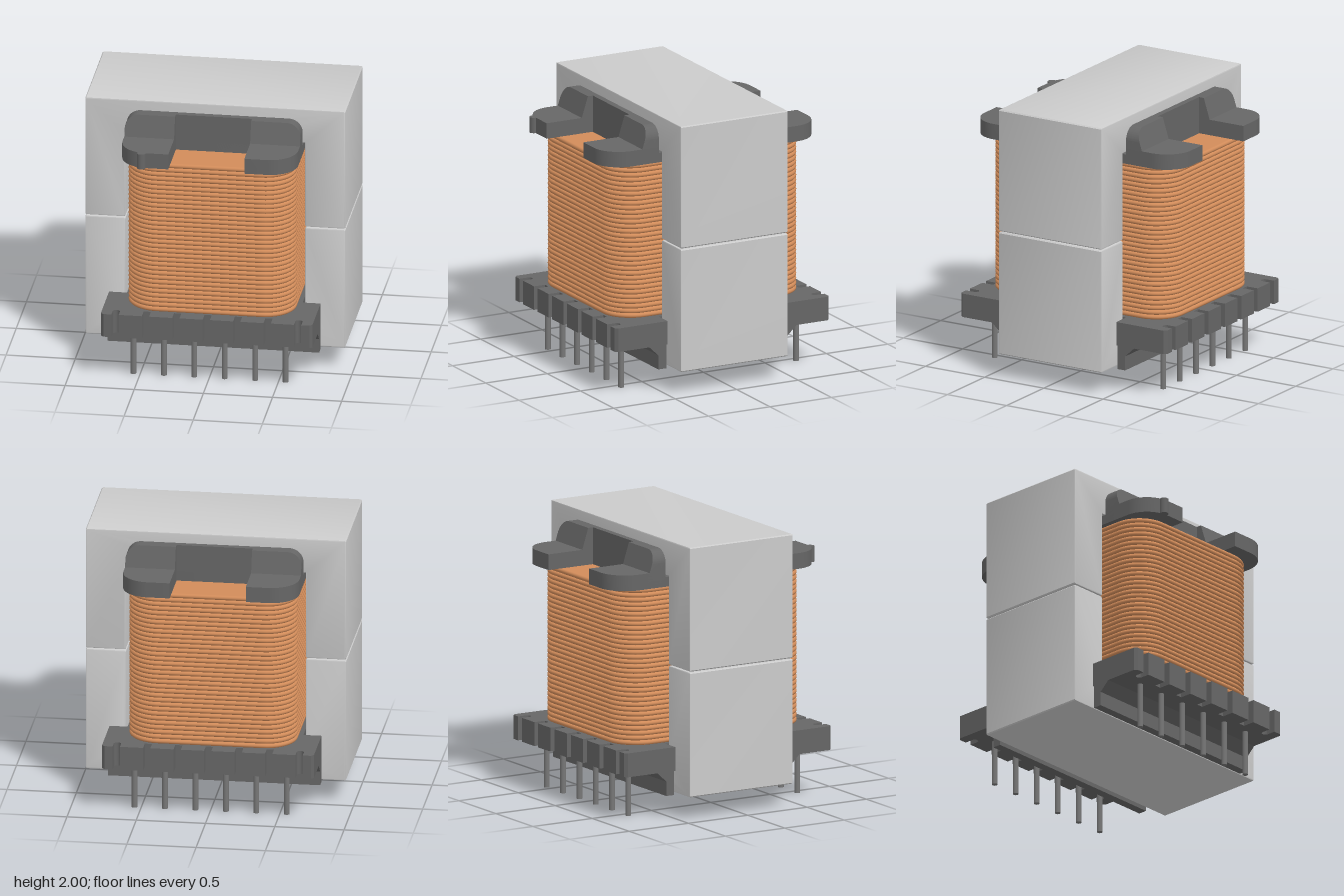
import * as THREE from 'three';
import { toCreasedNormals } from 'three/addons/utils/BufferGeometryUtils.js';

const ferrite = new THREE.MeshStandardMaterial({ color: 0xcccccc });
const plastic = new THREE.MeshStandardMaterial({ color: 0x666666 });
const metal = new THREE.MeshStandardMaterial({ color: 0x777777 });
const copper = new THREE.MeshStandardMaterial({ color: 0xd28c5a });

function add(parent, name, geometry, material) {
  const mesh = new THREE.Mesh(geometry, material);
  mesh.name = name;
  parent.add(mesh);
  return mesh;
}

const poly = (pts) => new THREE.Shape(pts.map(([x, y]) => new THREE.Vector2(x, y)));

// Rounded rectangle outline, half sizes w and d
function roundRect(w, d, r, Type = THREE.Shape) {
  const s = new Type();
  s.absarc(w - r, d - r, r, 0, Math.PI / 2);
  s.absarc(-w + r, d - r, r, Math.PI / 2, Math.PI);
  s.absarc(-w + r, -d + r, r, Math.PI, Math.PI * 1.5);
  s.absarc(w - r, -d + r, r, Math.PI * 1.5, Math.PI * 2);
  s.closePath();
  return s;
}

// Plan shape (x, z) extruded between two heights
function slab(shape, y0, y1) {
  const g = new THREE.ExtrudeGeometry(shape, { depth: y1 - y0, bevelEnabled: false, curveSegments: 10 });
  g.rotateX(Math.PI / 2).translate(0, y1, 0);
  return toCreasedNormals(g, 0.6);
}

// Side profile (z, y) extruded across the width
function across(pts, width) {
  const g = new THREE.ExtrudeGeometry(poly(pts), { depth: width, bevelEnabled: false });
  return g.rotateY(-Math.PI / 2).translate(width / 2, 0, 0);
}

// E-shaped core half: outer edge yEnd, window edge yWin, mating edge ySeam
function coreHalf(yEnd, yWin, ySeam) {
  const X = 0.94, W = 0.65, L = 0.26, c = 0.008, b = 0.008, D = 0.87;
  const s = Math.sign(yEnd - ySeam) * c;
  const half = [[L, ySeam], [L, yWin], [W, yWin], [W, ySeam + s], [W + c, ySeam],
    [X - c, ySeam], [X, ySeam + s], [X, yEnd - s], [X - c, yEnd]];
  const mirrored = half.map(([x, y]) => [-x, y]).reverse();
  const g = new THREE.ExtrudeGeometry(poly([...half, ...mirrored]), {
    depth: D - 2 * b, bevelEnabled: true, bevelSize: b, bevelOffset: -b, bevelThickness: b, bevelSegments: 2 });
  g.translate(0, 0, -D / 2 + b);
  return toCreasedNormals(g, 0.5);
}

// One turn of winding: half-round bead swept round a rounded rectangle
function turn(w, d, r, bead) {
  const corner = 10, rows = 6, path = [];
  [[1, 1], [-1, 1], [-1, -1], [1, -1]].forEach(([sx, sz], q) => {
    for (let i = 0; i <= corner; i++) {
      const a = (q + i / corner) * Math.PI / 2;
      path.push([sx * (w - r), sz * (d - r), Math.cos(a), Math.sin(a)]);
    }
  });
  const pos = [], nor = [], idx = [], n = path.length;
  for (let j = 0; j <= rows; j++) {
    const t = (j / rows - 0.5) * Math.PI;
    for (const [cx, cz, nx, nz] of path) {
      const k = r + bead * Math.cos(t);
      pos.push(cx + nx * k, bead * Math.sin(t), cz + nz * k);
      nor.push(nx * Math.cos(t), Math.sin(t), nz * Math.cos(t));
    }
  }
  for (let j = 0; j < rows; j++) for (let i = 0; i < n; i++) {
    const a = j * n + i, b = j * n + (i + 1) % n;
    idx.push(a, a + n, b, b, a + n, b + n);
  }
  const g = new THREE.BufferGeometry();
  g.setAttribute('position', new THREE.Float32BufferAttribute(pos, 3));
  g.setAttribute('normal', new THREE.Float32BufferAttribute(nor, 3));
  g.setIndex(idx);
  return g;
}

// Front half of the top flange: U-shaped ledge with a sloped, notched upstand
function topFlange() {
  const g = new THREE.Group();
  g.name = 'topFlange';
  const X = 0.635, N = 0.275, zi = 0.45, zn = 0.495, zo = 0.87, r = 0.2;
  const ledge = new THREE.Shape();
  ledge.moveTo(-X, zi).lineTo(X, zi).lineTo(X, zo - r);
  ledge.absarc(X - r, zo - r, r, 0, Math.PI / 2);
  ledge.lineTo(N, zo).lineTo(N, zn).lineTo(-N, zn).lineTo(-N, zo);
  ledge.absarc(-X + r, zo - r, r, Math.PI / 2, Math.PI);
  add(g, 'ledge', slab(ledge, 1.66, 1.775), plastic);

  const y0 = 1.66, y1 = 1.93, c = 0.1;
  const wall = new THREE.Shape();
  wall.moveTo(-X, y0).lineTo(X, y0).lineTo(X, y1 - c);
  wall.absarc(X - c, y1 - c, c, 0, Math.PI / 2);
  wall.absarc(-X + c, y1 - c, c, Math.PI / 2, Math.PI);
  const wg = new THREE.ExtrudeGeometry(wall, { depth: zn - zi, bevelEnabled: false });
  add(g, 'upstand', toCreasedNormals(wg.translate(0, 0, zi), 0.6), plastic);

  for (const s of [-1, 1]) {
    const end = new THREE.Shape();
    if (s > 0) {
      end.moveTo(N, y0).lineTo(X, y0).lineTo(X, y1 - c);
      end.absarc(X - c, y1 - c, c, 0, Math.PI / 2).lineTo(N, y1);
    } else {
      end.moveTo(-N, y0).lineTo(-N, y1).lineTo(-X + c, y1);
      end.absarc(-X + c, y1 - c, c, Math.PI / 2, Math.PI).lineTo(-X, y0);
    }
    const eg = new THREE.ExtrudeGeometry(end, { depth: 0.04, bevelEnabled: false });
    const p = eg.attributes.position;
    // Lean the outer face outwards towards its foot
    for (let i = 0; i < p.count; i++) p.setZ(i, p.getZ(i) > 0.02 ? 0.535 + (y1 - p.getY(i)) * 0.32 : zn);
    add(g, 'upstandEnd', toCreasedNormals(eg, 0.6), plastic);
  }
  return g;
}

// Front half of the base: slotted pin rail, skirt and six pins
function pinRail() {
  const g = new THREE.Group();
  g.name = 'pinRail';
  const X = 0.765, zi = 0.45, zo = 0.87, zs = 0.78, h = 0.026;
  const rail = new THREE.Shape();
  rail.moveTo(-X, zi).lineTo(X, zi).lineTo(X, zo - 0.02).lineTo(X - 0.02, zo);
  for (let i = 3; i >= -3; i--) {
    const x = i * 0.22;
    rail.lineTo(x + h, zo);
    if (Math.abs(i) === 3) rail.absarc(x, zs + h, h, 0, Math.PI, true);
    else rail.lineTo(x + h, zs).lineTo(x - h, zs);
    rail.lineTo(x - h, zo);
  }
  rail.lineTo(-X + 0.02, zo).lineTo(-X, zo - 0.02);
  add(g, 'rail', slab(rail, 0.335, 0.51), plastic);
  add(g, 'skirt', across([[0.46, 0.16], [0.525, 0.16], [0.525, 0.265], [0.6, 0.336], [0.46, 0.336]], 2 * X), plastic);
  for (let i = 0; i < 6; i++) {
    const pin = new THREE.CylinderGeometry(0.021, 0.021, 0.36, 16);
    add(g, 'pin', pin.translate((i - 2.5) * 0.22, 0.18, 0.712), metal);
  }
  return g;
}

export function createModel() {
  const model = new THREE.Group();
  const body = new THREE.Group();
  body.name = 'transformer';
  body.position.z = -0.015;
  model.add(body);

  // Core halves meeting at a seam
  add(body, 'upperCore', coreHalf(2, 1.74, 1.091), ferrite);
  add(body, 'lowerCore', coreHalf(0.17, 0.43, 1.084), ferrite);

  // Bobbin tube and the thin flanges inside the core window
  const tube = roundRect(0.31, 0.495, 0.02);
  tube.holes.push(roundRect(0.275, 0.45, 0.01, THREE.Path));
  add(body, 'bobbinTube', slab(tube, 0.44, 1.73), plastic);
  for (const [y0, y1] of [[0.44, 0.51], [1.66, 1.73]]) {
    const web = roundRect(0.635, 0.46, 0.01);
    web.holes.push(roundRect(0.3, 0.455, 0.01, THREE.Path));
    add(body, 'innerFlange', slab(web, y0, y1), plastic);
  }

  // Winding: flat-ended block wrapped in beaded turns
  const turns = 33, pitch = 1.15 / turns, W = 0.59, D = 0.757, R = 0.21;
  const block = roundRect(W, D, R);
  block.holes.push(roundRect(0.305, 0.49, 0.02, THREE.Path));
  add(body, 'windingBlock', slab(block, 0.51, 1.659), copper);
  const ring = turn(W, D, R, pitch / 2);
  for (let i = 0; i < turns; i++) add(body, 'turn', ring, copper).position.y = 0.51 + (i + 0.5) * pitch;

  // Matching flanges and pin rails front and back
  for (const angle of [0, Math.PI]) {
    for (const part of [topFlange(), pinRail()]) {
      part.rotation.y = angle;
      body.add(part);
    }
  }

  // Small locating nub on the front ledge
  const nub = new THREE.CylinderGeometry(0.032, 0.032, 0.115, 20);
  add(body, 'locatingNub', nub.translate(-0.47, 1.7175, 0.87), plastic);
  return model;
}
